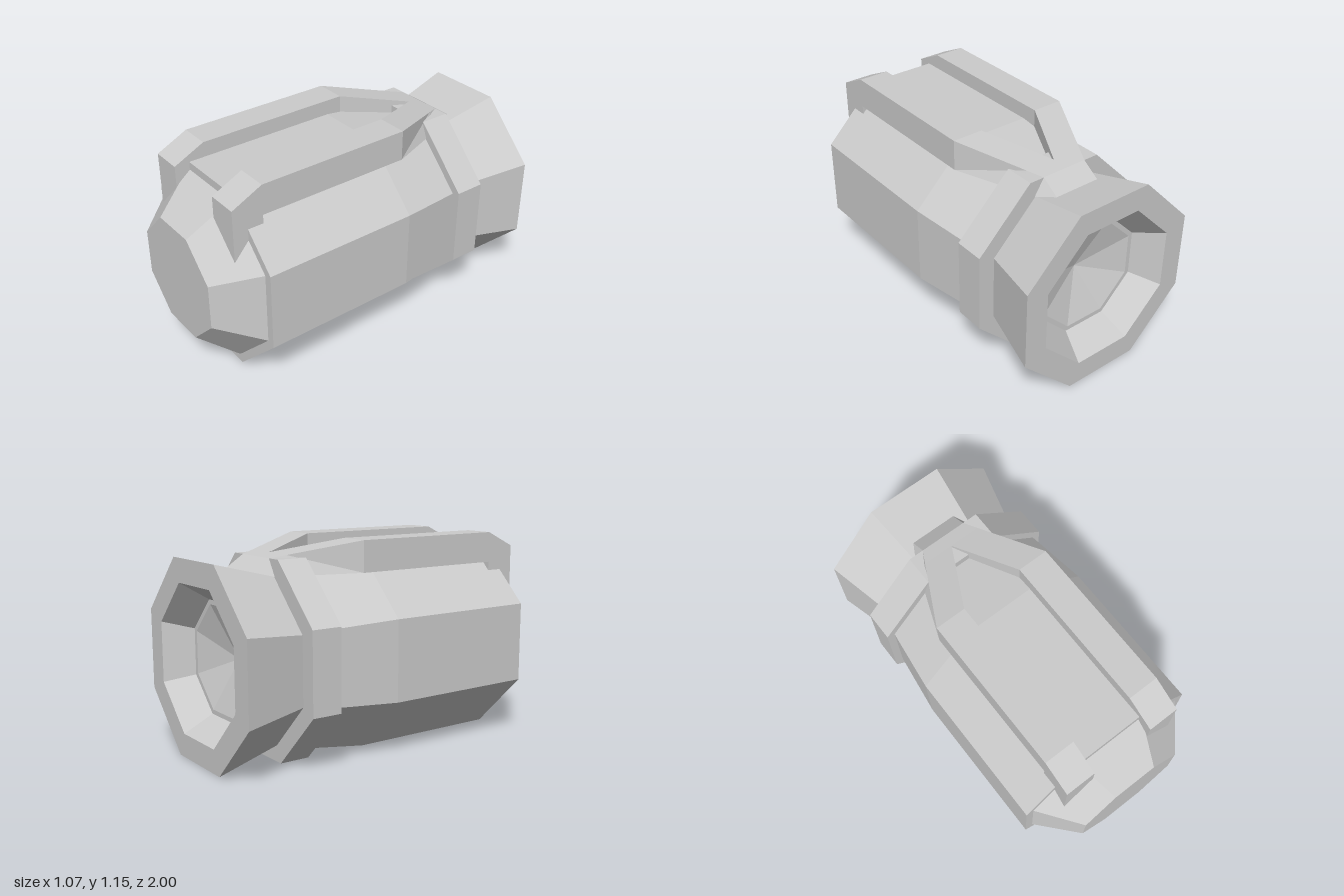
import * as THREE from 'three';

const CY = 0.535; // height of the long axis
const mat = new THREE.MeshStandardMaterial({ color: 0xcccccc, flatShading: true });

function add(group, name, geo) {
  const mesh = new THREE.Mesh(geo, mat);
  mesh.name = name;
  group.add(mesh);
}

// Octagonal shell along z; points are [apothem, z], ordered back to front on the outside
function octagon(points) {
  const pts = points.map(([a, z]) => new THREE.Vector2(a / Math.cos(Math.PI / 8), z));
  return new THREE.LatheGeometry(pts, 8, Math.PI / 8).rotateX(Math.PI / 2).translate(0, CY, 0);
}

// Closed solid lofted through four-cornered sections, front to back
function loft(sections, side) {
  const pos = [], idx = [];
  for (const [z, inner, topOuter, lowOuter, low, top] of sections) {
    pos.push(inner * side, low, z, lowOuter * side, low, z, topOuter * side, top, z, inner * side, top, z);
  }
  const quad = (a, b, c, d) => (side > 0 ? idx.push(a, b, c, a, c, d) : idx.push(a, c, b, a, d, c));
  for (let i = 0; i < sections.length - 1; i++) {
    for (let k = 0; k < 4; k++) {
      const a = i * 4 + k, b = i * 4 + (k + 1) % 4;
      quad(a, a + 4, b + 4, b);
    }
  }
  const e = (sections.length - 1) * 4;
  quad(0, 1, 2, 3);
  quad(e + 3, e + 2, e + 1, e);
  const geo = new THREE.BufferGeometry();
  geo.setAttribute('position', new THREE.Float32BufferAttribute(pos, 3));
  geo.setIndex(idx);
  const flat = geo.toNonIndexed();
  flat.computeVertexNormals();
  return flat;
}

export function createModel() {
  const model = new THREE.Group();
  model.name = 'octagonalPod';

  // Main shell, collar and ends
  add(model, 'frontCap', octagon([[0.49, 0.78], [0.31, 1], [0, 1]]));
  add(model, 'mainBody', octagon([[0.49, -0.47], [0.535, -0.11], [0.535, 0.78], [0.49, 0.78]]));
  add(model, 'collar', octagon([[0.445, -0.64], [0.535, -0.64], [0.535, -0.47], [0.49, -0.47]]));
  add(model, 'rearFlare', octagon([[0.405, -1], [0.535, -1], [0.445, -0.64]]));
  add(model, 'rearRecess', octagon([[0.285, -0.85], [0.31, -0.85], [0.405, -1]]));
  add(model, 'rearCone', octagon([[0, -0.75], [0.285, -0.85]]));

  // Rails: [z, inner x, outer x at top, outer x at bottom, bottom y, top y]
  const rail = [
    [0.865, 0.18, 0.355, 0.355, 0.985, 1.07],
    [0.69, 0.18, 0.355, 0.355, 0.985, 1.155],
    [-0.2, 0.18, 0.355, 0.355, 0.985, 1.155],
    [-0.56, 0, 0.175, 0.22, 0.98, 1.085],
    [-0.64, 0, 0.135, 0.19, 0.98, 1.07],
    [-0.745, 0, 0.135, 0.15, 0.94, 1.0],
  ];
  for (const side of [1, -1]) {
    const name = side > 0 ? 'left' : 'right';
    add(model, name + 'Rail', loft(rail, side));

    // Front leg with a slanted foot
    const foot = new THREE.Shape([[0.18, 0.93], [0.355, 0.755], [0.355, 0.985], [0.18, 0.985]]
      .map(([x, y]) => new THREE.Vector2(x * side, y)));
    const leg = new THREE.ExtrudeGeometry(foot, { depth: 0.175, bevelEnabled: false });
    add(model, name + 'RailLeg', leg.translate(0, 0, 0.69));
  }
  return model;
}
